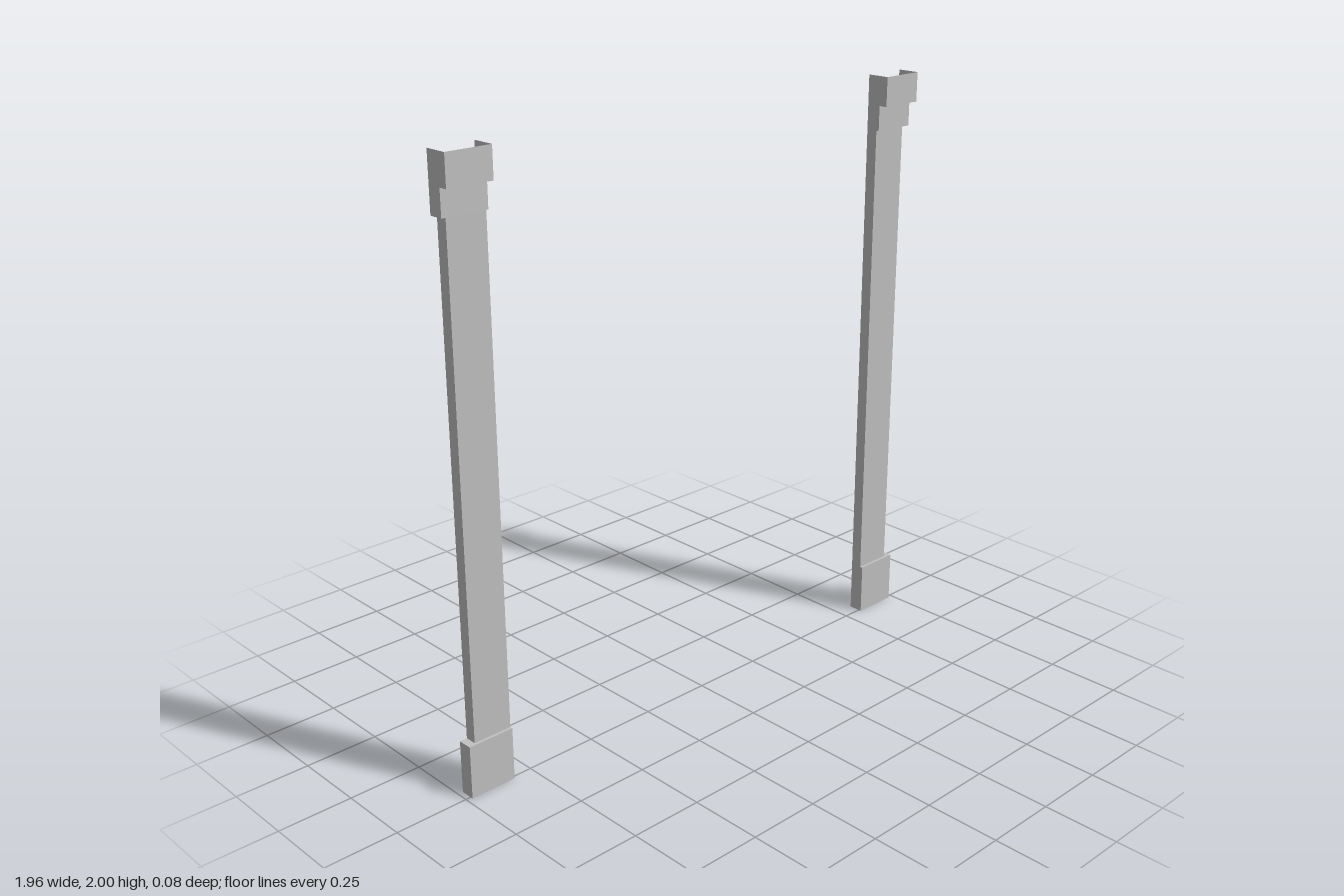
import * as THREE from 'three';

const INNER = 0.82; // inner face of each pilaster
const BACK = -0.04; // open rear edge

// Stacked sections from floor to top: bottom, top, outer x, front z
const SECTIONS = [
  { name: 'base', y0: 0, y1: 0.18, outer: 0.982, front: 0.01 },
  { name: 'shaft', y0: 0.18, y1: 1.815, outer: 0.956, front: 0 },
  { name: 'neck', y0: 1.815, y1: 1.9, outer: 0.977, front: 0.01 },
  { name: 'capital', y0: 1.9, y1: 2, outer: 0.977, front: 0.04 },
];

export function createModel() {
  const stone = new THREE.MeshStandardMaterial({ color: 0xc0c0c0, side: THREE.DoubleSide });
  stone.name = 'grey stone';

  function panel(parent, name, w, h, pos, rx = 0, ry = 0) {
    const mesh = new THREE.Mesh(new THREE.PlaneGeometry(w, h), stone);
    mesh.name = name;
    mesh.position.set(...pos);
    mesh.rotation.set(rx, ry, 0);
    parent.add(mesh);
  }

  function pilaster(name, side) {
    const group = new THREE.Group();
    group.name = name;

    // Each section is a U-shaped shell, open at the back
    for (const s of SECTIONS) {
      const part = new THREE.Group();
      part.name = s.name;
      const h = s.y1 - s.y0, y = (s.y0 + s.y1) / 2;
      const d = s.front - BACK, z = (s.front + BACK) / 2;
      panel(part, s.name + 'Front', s.outer - INNER, h, [side * (s.outer + INNER) / 2, y, s.front]);
      panel(part, s.name + 'OuterSide', d, h, [side * s.outer, y, z], 0, side * Math.PI / 2);
      panel(part, s.name + 'InnerSide', d, h, [side * INNER, y, z], 0, -side * Math.PI / 2);
      group.add(part);
    }

    // A ledge closes each step, sized to the wider of the two sections
    for (let i = 1; i < SECTIONS.length; i++) {
      const a = SECTIONS[i - 1], b = SECTIONS[i];
      const outer = Math.max(a.outer, b.outer), front = Math.max(a.front, b.front);
      const up = a.front > b.front ? -1 : 1;
      panel(group, b.name + 'Ledge', outer - INNER, front - BACK,
        [side * (outer + INNER) / 2, b.y0, (front + BACK) / 2], up * Math.PI / 2);
    }
    return group;
  }

  const model = new THREE.Group();
  model.name = 'pilasterPair';
  model.add(pilaster('leftPilaster', 1), pilaster('rightPilaster', -1));
  return model;
}
